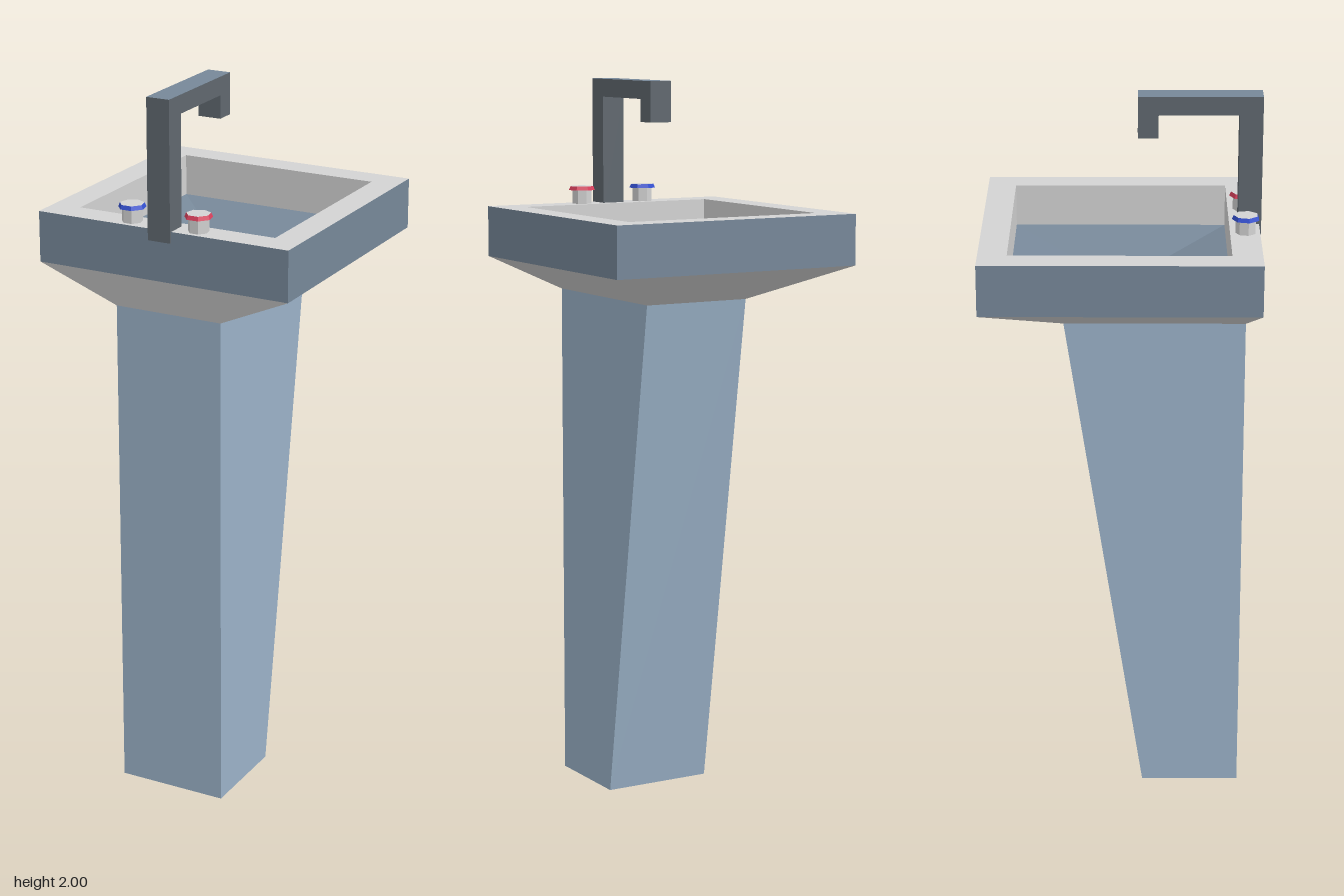
import * as THREE from 'three';

const mat = (name, color) => {
  const m = new THREE.MeshStandardMaterial({ color });
  m.name = name;
  return m;
};

// Rectangular ring at height y, counter-clockwise seen from above
const ring = (x0, x1, z0, z1, y) => [[x0, y, z1], [x1, y, z1], [x1, y, z0], [x0, y, z0]];

// Four flat faces joining one ring to the next
function band(a, b) {
  const pos = [];
  for (let i = 0; i < 4; i++) {
    const j = (i + 1) % 4;
    pos.push(...a[i], ...a[j], ...b[j], ...a[i], ...b[j], ...b[i]);
  }
  const g = new THREE.BufferGeometry();
  g.setAttribute('position', new THREE.Float32BufferAttribute(pos, 3));
  g.computeVertexNormals();
  return g;
}

export function createModel() {
  const paleBlue = mat('pale blue', 0x9bb2c8);
  const slate = mat('slate', 0x778899);
  const lightGrey = mat('light grey', 0xd3d3d3);
  const darkGrey = mat('dark grey', 0x60686f);
  const blue = mat('cold blue', 0x3450d0);
  const red = mat('hot red', 0xd8405c);

  const model = new THREE.Group();
  model.name = 'pedestalSink';
  const add = (name, geometry, material, parent = model) => {
    const mesh = new THREE.Mesh(geometry, material);
    mesh.name = name;
    parent.add(mesh);
    return mesh;
  };

  // Pedestal, leaning backwards towards the top
  const foot = ring(-0.157, 0.155, 0.06, 0.333, 0);
  const neck = ring(-0.157, 0.155, -0.155, 0.333, 1.41);
  add('pedestal', band(foot, neck), paleBlue);
  const base = add('pedestalBase', new THREE.PlaneGeometry(0.312, 0.273), lightGrey);
  base.rotation.x = Math.PI / 2;
  base.position.set(-0.001, 0, 0.1965);

  // Basin: flared underside, outer walls, rim, inner walls and sloping bowl
  const lower = ring(-0.37, 0.368, -0.373, 0.368, 1.51);
  const outer = ring(-0.37, 0.368, -0.373, 0.368, 1.65);
  const inner = ring(-0.291, 0.29, -0.296, 0.288, 1.65);
  const bowlTop = ring(-0.291, 0.29, -0.296, 0.288, 1.535);
  const bowlFloor = ring(-0.09, 0.09, -0.095, 0.087, 1.487);
  add('basinUnderside', band(neck, lower), lightGrey);
  add('basinSides', band(lower, outer), slate);
  add('basinRim', band(outer, inner), lightGrey);
  add('basinInnerWalls', band(inner, bowlTop), lightGrey);
  add('bowl', band(bowlTop, bowlFloor), slate);

  // Drain plate with rounded corners
  const r = 0.105, c = 0.018;
  const plate = new THREE.Shape();
  plate.moveTo(-r + c, -r);
  plate.lineTo(r - c, -r);
  plate.quadraticCurveTo(r, -r, r, -r + c);
  plate.lineTo(r, r - c);
  plate.quadraticCurveTo(r, r, r - c, r);
  plate.lineTo(-r + c, r);
  plate.quadraticCurveTo(-r, r, -r, r - c);
  plate.lineTo(-r, -r + c);
  plate.quadraticCurveTo(-r, -r, -r + c, -r);
  const drain = add('drain', new THREE.ExtrudeGeometry(plate,
    { depth: 0.005, bevelEnabled: false, curveSegments: 3 }), darkGrey);
  drain.rotation.x = -Math.PI / 2;
  drain.position.set(0, 1.488, -0.004);

  // Square faucet: column, arm with a slate top, and spout
  const faucet = new THREE.Group();
  faucet.name = 'faucet';
  model.add(faucet);
  const bar = (name, y0, y1, z0, z1, material) => {
    const mesh = add(name, new THREE.BoxGeometry(0.066, y1 - y0, z1 - z0), material, faucet);
    mesh.position.set(-0.003, (y0 + y1) / 2, (z0 + z1) / 2);
  };
  bar('column', 1.62, 1.95, 0.312, 0.374, darkGrey);
  bar('arm', 1.95, 2, 0.043, 0.374, [darkGrey, darkGrey, slate, darkGrey, darkGrey, darkGrey]);
  bar('spout', 1.887, 1.95, 0.043, 0.098, darkGrey);

  // Seven-sided knobs with a coloured edge
  for (const [name, x, colour] of [['coldKnob', -0.107, blue], ['hotKnob', 0.09, red]]) {
    const knob = new THREE.Group();
    knob.name = name;
    knob.position.set(x, 1.65, 0.33);
    model.add(knob);
    const prism = (part, top, bottom, y0, y1, material) => {
      const g = new THREE.CylinderGeometry(top, bottom, y1 - y0, 7, 1, false, Math.PI).toNonIndexed();
      g.computeVertexNormals();
      add(part, g, material, knob).position.y = (y0 + y1) / 2;
    };
    prism('stem', 0.028, 0.028, 0, 0.038, lightGrey);
    prism('cap', 0.033, 0.038, 0.038, 0.049, [colour, lightGrey, lightGrey]);
  }

  return model;
}
